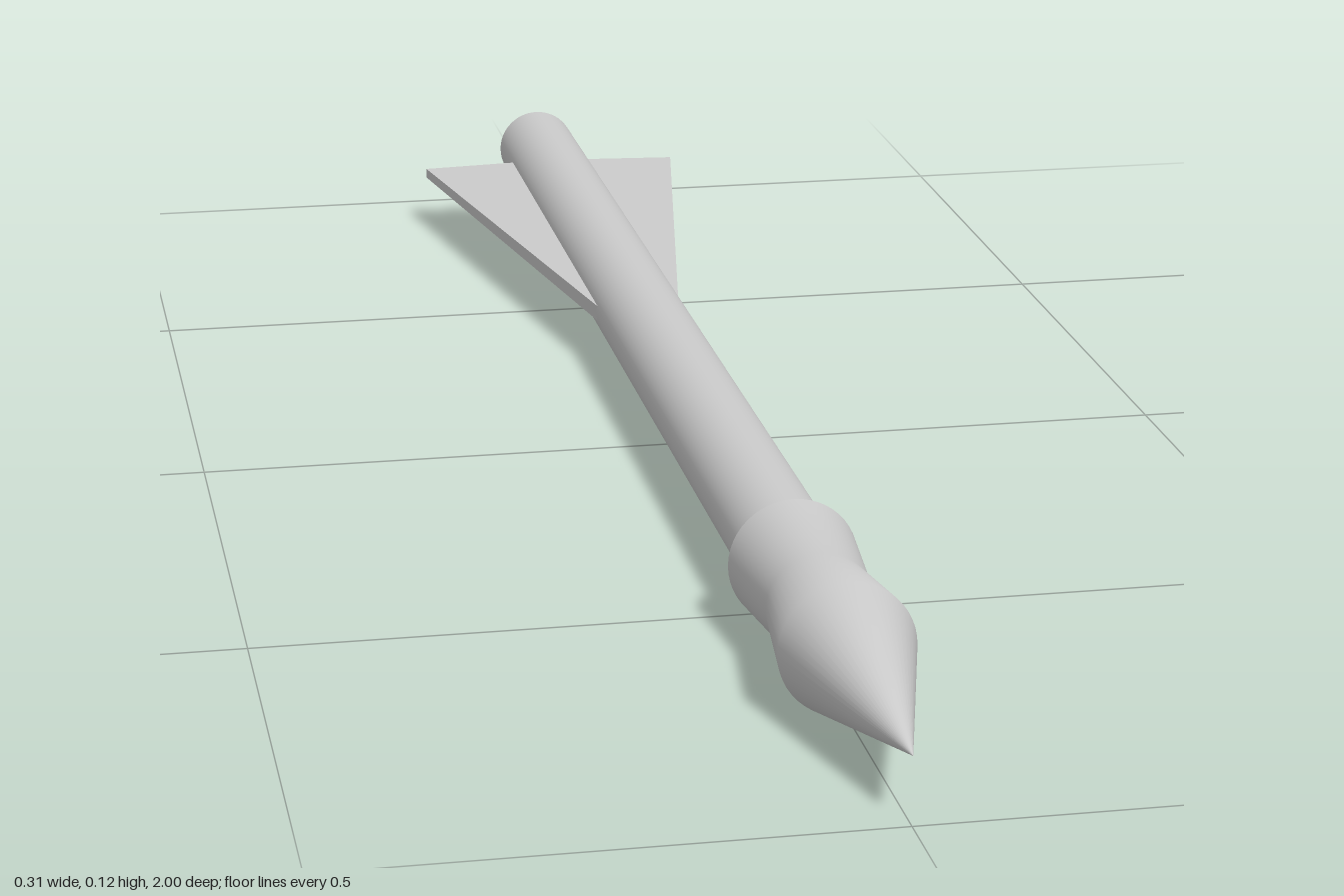
import * as THREE from 'three';

const AXIS_Y = 0.063;

export function createModel() {
  const group = new THREE.Group();
  const material = new THREE.MeshStandardMaterial({ color: 0xcccccc });
  const add = (name, geometry) => {
    const mesh = new THREE.Mesh(geometry, material);
    mesh.name = name;
    mesh.position.y = AXIS_Y;
    group.add(mesh);
    return mesh;
  };

  // Straight round shaft from the tail into the head
  const shaft = new THREE.CylinderGeometry(0.046, 0.046, 1.6, 48);
  shaft.rotateX(Math.PI / 2).translate(0, 0, -0.2);
  add('shaft', shaft);

  // Pointed head: flared socket, waist, widest ring, tip (radius, z)
  const profile = [[0.061, 0.535], [0.05, 0.65], [0.0625, 0.76], [0, 1]]
    .map(([r, z]) => new THREE.Vector2(r, z));
  add('head', new THREE.LatheGeometry(profile, 48).rotateX(Math.PI / 2));

  // Flat rear face of the socket
  const rim = new THREE.RingGeometry(0.04, 0.061, 48);
  rim.rotateY(Math.PI).translate(0, 0, 0.535);
  add('headRim', rim);

  // Two swept fins, thinning slightly toward their outer tips
  const outline = new THREE.Shape([[0, -0.9], [0.153, -0.9], [0, -0.01]]
    .map(([x, z]) => new THREE.Vector2(x, z)));
  const fin = new THREE.ExtrudeGeometry(outline, { depth: 1, bevelEnabled: false });
  fin.translate(0, 0, -0.5).rotateX(Math.PI / 2);
  const p = fin.attributes.position;
  for (let i = 0; i < p.count; i++) {
    p.setY(i, p.getY(i) * THREE.MathUtils.lerp(0.019, 0.011, p.getX(i) / 0.153));
  }
  fin.computeVertexNormals();
  add('leftFin', fin);
  add('rightFin', fin).rotation.z = Math.PI;

  return group;
}
